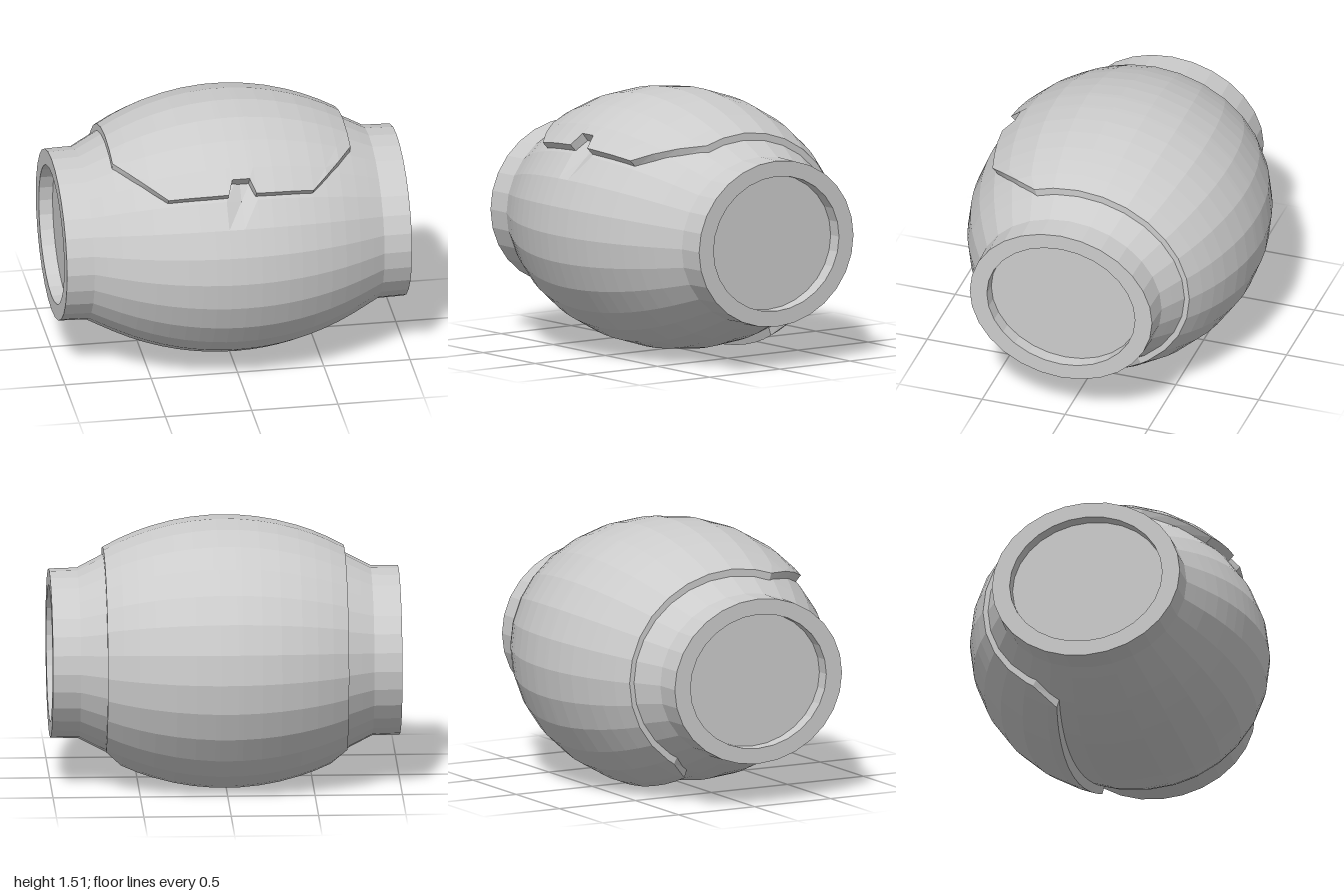
import * as THREE from 'three';

const SIDES = 28, CY = 0.735, CZ = 0.025;
const rad = THREE.MathUtils.degToRad;
const material = new THREE.MeshStandardMaterial({ color: 0xcccccc, flatShading: true });

// Point on an elliptical section; angle runs from the top towards the back
const at = (x, ry, rz, a) => [x, CY + ry * Math.cos(a), CZ - rz * Math.sin(a)];

// Radius of a circular arc profile bulging along x
const arc = (top, R, x) => top - R + Math.sqrt(R * R - x * x);
const bodyR = x => arc(0.72, 1.57, x);
const shellR = x => arc(0.78, 1.426, x);
const BODY_WIDEN = 1.146, SHELL_WIDEN = 1.115;

// Skin a list of equally long rows of points
function skin(name, rows) {
  const pos = [];
  for (let i = 0; i < rows.length - 1; i++) {
    for (let j = 0; j < rows[i].length - 1; j++) {
      const a = rows[i][j], b = rows[i + 1][j], c = rows[i + 1][j + 1], d = rows[i][j + 1];
      pos.push(...a, ...b, ...c, ...a, ...c, ...d);
    }
  }
  const geo = new THREE.BufferGeometry();
  geo.setAttribute('position', new THREE.Float32BufferAttribute(pos, 3));
  geo.computeVertexNormals();
  const mesh = new THREE.Mesh(geo, material);
  mesh.name = name;
  return mesh;
}

// Barrel body with necks and recessed round ends
function makeBody() {
  const half = [[0.92, 0], [0.92, 0.39], [1, 0.39], [1, 0.48], [0.84, 0.484], [0.77, 0.52]];
  for (const x of [0.69, 0.6, 0.51, 0.42, 0.33, 0.25, 0.17, 0.09]) half.push([x, bodyR(x)]);
  const profile = [
    ...half.map(([x, r]) => [-x, r]),
    [0, bodyR(0)],
    ...half.slice().reverse(),
  ];
  const rows = profile.map(([x, r]) => {
    const row = [];
    for (let j = 0; j <= SIDES; j++) {
      // small thumb dent just below the notch of the cover
      const k = x === 0 && j === SIDES - 4 ? 0.955 : 1;
      row.push(at(x, r * k, r * k * BODY_WIDEN, (j / SIDES) * Math.PI * 2));
    }
    return row;
  });
  return skin('body', rows);
}

// Curved cover wrapped over the top and back, notched at the front edge
function makeCover() {
  // x, front edge angle, rear edge angle (degrees from the top)
  const half = [
    [0.69, 23, 145.6], [0.6, 34, 159], [0.51, 42.5, 159], [0.42, 49.6, 159], [0.3, 49.8, 159],
    [0.19, 50, 159], [0.08, 50, 159], [0.05, 43.6, 159],
  ];
  const stations = [
    ...half.map(([x, f, b]) => [-x, f, b]),
    ...half.slice().reverse(),
  ];
  const section = ([x, front, rear], capped) => {
    const inner = bodyR(x) - 0.012, outer = shellR(x);
    const from = rad(-front), to = rad(rear);
    const onBody = a => at(x, inner, inner * BODY_WIDEN, a);
    const onShell = a => at(x, outer, outer * SHELL_WIDEN, a);
    const row = [onBody(from)];
    for (let j = -4; j <= 13; j++) {
      const a = j === -4 ? from : j === 13 ? to
        : THREE.MathUtils.clamp((j / SIDES) * Math.PI * 2, from, to);
      row.push(capped ? onBody(a) : onShell(a));
    }
    row.push(onBody(to));
    return row;
  };
  const rows = stations.map(s => section(s, false));
  // side walls down to the body
  rows.unshift(section(stations[0], true));
  rows.push(section(stations[stations.length - 1], true));
  return skin('cover', rows);
}

export function createModel() {
  const group = new THREE.Group();
  group.name = 'barrelWithCover';
  group.add(makeBody(), makeCover());
  return group;
}
